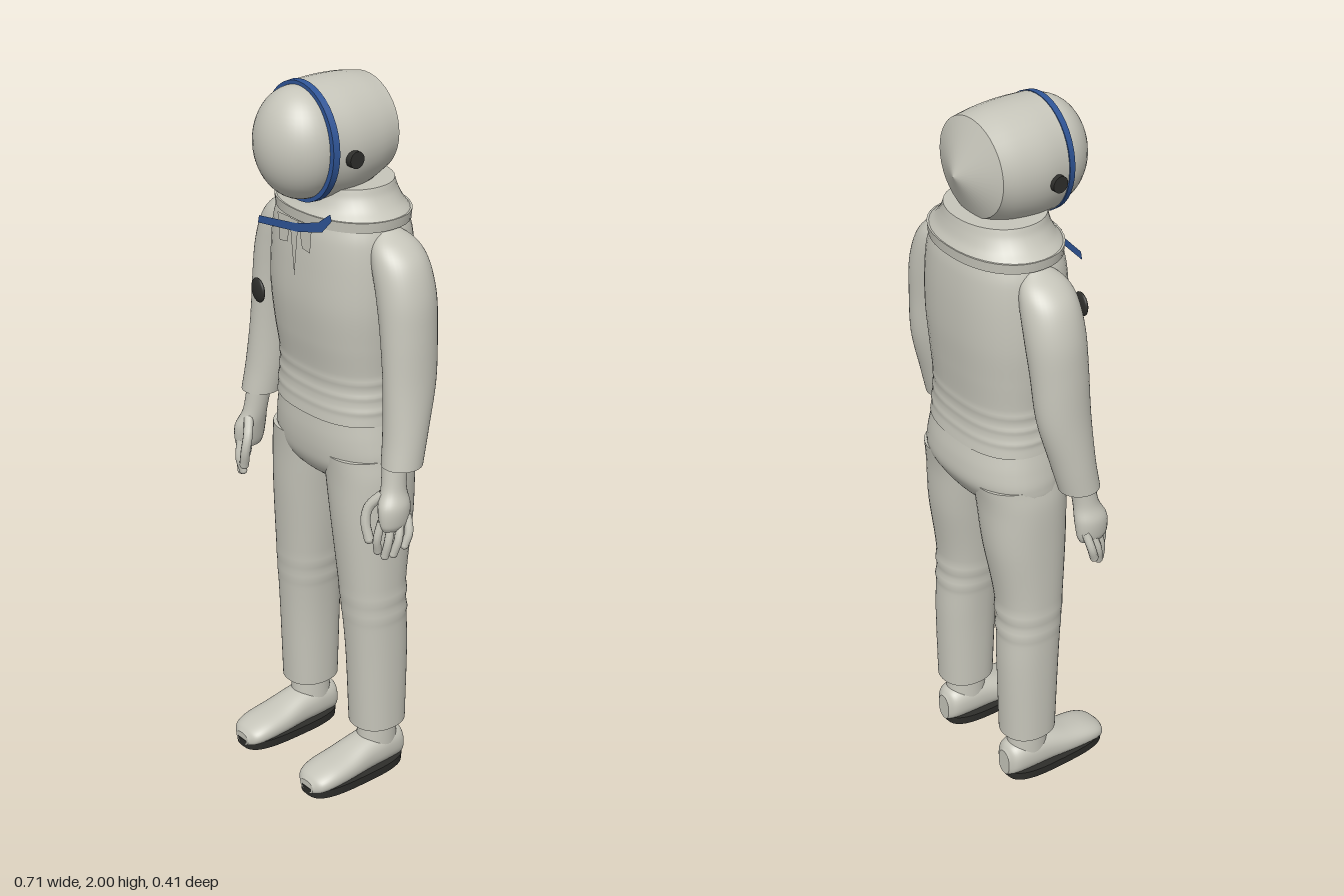
import * as THREE from 'three';

const suit = new THREE.MeshStandardMaterial({ color: 0xc6c5ba, side: THREE.DoubleSide });
suit.name = 'suitGrey';
const blue = new THREE.MeshStandardMaterial({ color: 0x2f5597, side: THREE.DoubleSide });
blue.name = 'trimBlue';
const black = new THREE.MeshStandardMaterial({ color: 0x2e2e2b });
black.name = 'rubberBlack';

// Smooth skin over superellipse sections [y, cx, cz, rx, rz], listed bottom to top, with flat caps.
function loft(rows, { power = 2, steps = 6, sides = 40, ripple = null } = {}) {
  const curve = (f) => new THREE.CatmullRomCurve3(rows.map(f), false, 'catmullrom');
  const mid = curve(([y, cx, cz]) => new THREE.Vector3(cx, y, cz));
  const rad = curve(([y, , , rx, rz]) => new THREE.Vector3(rx, y, rz));
  const pos = [], idx = [], count = (rows.length - 1) * steps;
  const round = (v) => Math.sign(v) * Math.pow(Math.abs(v), 2 / power);
  for (let i = 0; i <= count; i++) {
    const c = mid.getPoint(i / count), r = rad.getPoint(i / count);
    for (let j = 0; j < sides; j++) {
      const a = (j / sides) * Math.PI * 2;
      const k = ripple ? 1 + ripple(c.y, a) : 1;
      pos.push(c.x + r.x * k * round(Math.cos(a)), c.y, c.z + r.z * k * round(Math.sin(a)));
    }
  }
  for (let i = 0; i < count; i++) for (let j = 0; j < sides; j++) {
    const a = i * sides + j, b = i * sides + (j + 1) % sides;
    idx.push(a, a + sides, b, b, a + sides, b + sides);
  }
  // caps have their own corners, so their rims stay sharp
  for (const i of [0, count]) {
    const base = pos.length / 3;
    for (let j = 0; j < sides * 3; j++) pos.push(pos[i * sides * 3 + j]);
    const c = mid.getPoint(i / count);
    pos.push(c.x, c.y, c.z);
    for (let j = 0; j < sides; j++) {
      const a = base + j, b = base + (j + 1) % sides;
      idx.push(...(i ? [a, base + sides, b] : [a, b, base + sides]));
    }
  }
  const g = new THREE.BufferGeometry();
  g.setAttribute('position', new THREE.Float32BufferAttribute(pos, 3));
  g.setIndex(idx);
  g.computeVertexNormals();
  return g;
}

// Loft along z from sections [z, cx, cy, rx, ry].
const loftZ = (rows, opts) =>
  loft(rows.map(([z, cx, cy, rx, ry]) => [z, cx, -cy, rx, ry]), opts).rotateX(Math.PI / 2);

// Flat plate outline facing the front.
const plate = (pts, z) =>
  new THREE.ShapeGeometry(new THREE.Shape(pts.map(([x, y]) => new THREE.Vector2(x, y)))).translate(0, 0, z);

export function createModel() {
  const model = new THREE.Group();
  const add = (name, geo, mat = suit, parent = model) => {
    const m = new THREE.Mesh(geo, mat);
    m.name = name;
    parent.add(m);
    return m;
  };
  const bump = (y, at, w) => Math.exp(-(((y - at) / w) ** 2));

  // jacket with folds above the hem
  add('jacket', loft([
    [1.1, 0, -0.051, 0.204, 0.139], [1.15, 0, -0.05, 0.199, 0.133], [1.22, 0, -0.05, 0.195, 0.131],
    [1.32, 0, -0.047, 0.203, 0.143], [1.42, 0, -0.046, 0.21, 0.152], [1.52, 0, -0.047, 0.208, 0.152],
    [1.6, 0, -0.047, 0.2, 0.147], [1.65, 0, -0.047, 0.185, 0.138],
  ], { power: 2.4, steps: 12, ripple: (y) => 0.014 * (bump(y, 1.14, 0.009) + bump(y, 1.18, 0.008) + bump(y, 1.22, 0.009)) }));

  // collar
  add('collarBand', loft([[1.638, 0, -0.048, 0.2, 0.145], [1.665, 0, -0.048, 0.203, 0.147]], { power: 2.2, steps: 1 }));
  add('collarSlope', loft([
    [1.665, 0, -0.048, 0.2, 0.144], [1.685, 0, -0.049, 0.175, 0.132],
    [1.71, 0, -0.049, 0.155, 0.124], [1.735, 0, -0.048, 0.145, 0.119],
  ], { power: 2.1 }));

  // ribbon tails below the collar
  const tails = new THREE.Group();
  tails.name = 'collarTails';
  model.add(tails);
  add('middleTail', plate([[-0.018, 1.645], [0, 1.49], [0.018, 1.645]], 0.111), suit, tails);
  for (const s of [-1, 1])
    add('sideTail', plate([[s * 0.015, 1.645], [s * 0.03, 1.575], [s * 0.062, 1.57], [s * 0.07, 1.645]], 0.109), suit, tails);
  add('chestStripe', plate([
    [-0.15, 1.592], [0.02, 1.616], [0.115, 1.643], [0.153, 1.683],
    [0.147, 1.7], [0.1, 1.665], [0.01, 1.637], [-0.145, 1.613],
  ], 0.112), blue);

  // chest button
  add('chestButton', new THREE.SphereGeometry(0.033, 24, 12).scale(1, 1, 0.3).rotateY(-0.15).translate(-0.1, 1.43, 0.152), black);

  // helmet shell, pointed back, ring and visor
  add('helmetShell', loftZ([
    [-0.12, 0, 1.857, 0.134, 0.129], [-0.06, 0, 1.849, 0.144, 0.147],
    [0.01, 0, 1.845, 0.147, 0.155], [0.08, 0, 1.845, 0.138, 0.154],
  ]));
  add('helmetBack', loftZ([[-0.174, 0, 1.845, 0.001, 0.001], [-0.12, 0, 1.857, 0.134, 0.129]], { steps: 1 }));
  add('visorRing', loftZ([[0.076, 0, 1.845, 0.142, 0.156], [0.094, 0, 1.845, 0.139, 0.155]], { steps: 1 }), blue);
  add('visor', new THREE.SphereGeometry(1, 40, 28).scale(0.125, 0.145, 0.111).translate(0, 1.845, 0.094));

  // seat of the trousers
  add('hips', loft([
    [0.895, 0, -0.05, 0.05, 0.07], [0.925, 0, -0.05, 0.15, 0.105], [0.96, 0, -0.052, 0.211, 0.128],
    [1.0, 0, -0.057, 0.219, 0.142], [1.05, 0, -0.055, 0.212, 0.143], [1.105, 0, -0.051, 0.201, 0.136],
  ], { power: 2.3 }));

  for (const s of [-1, 1]) {
    const side = s > 0 ? 'left' : 'right';
    const leg = new THREE.Group(), arm = new THREE.Group(), hand = new THREE.Group();
    leg.name = side + 'Leg';
    arm.name = side + 'Arm';
    hand.name = side + 'Hand';
    model.add(leg, arm);
    arm.add(hand);

    // trouser leg with creases at the knee
    add('trouserLeg', loft([
      [0.155, s * 0.151, -0.055, 0.073, 0.08], [0.4, s * 0.148, -0.052, 0.077, 0.088],
      [0.6, s * 0.139, -0.043, 0.086, 0.093], [0.8, s * 0.126, -0.05, 0.1, 0.115],
      [0.93, s * 0.115, -0.052, 0.11, 0.122], [1.0, s * 0.108, -0.055, 0.108, 0.13],
    ], { power: 2.2, steps: 14, ripple: (y, a) => 0.03 * (1 - 0.6 * Math.sin(a)) * (bump(y, 0.52, 0.012) + bump(y, 0.575, 0.012)) }), suit, leg);

    // ankle, shoe and sole
    add('ankle', loft([[0.07, s * 0.15, -0.055, 0.052, 0.062], [0.17, s * 0.152, -0.055, 0.05, 0.056]], { steps: 2 }), suit, leg);
    const shoe = [[-0.135, 0.09, 0.025], [-0.115, 0.112, 0.046], [-0.06, 0.122, 0.054], [0, 0.113, 0.056],
      [0.07, 0.093, 0.061], [0.14, 0.078, 0.062], [0.18, 0.062, 0.052], [0.198, 0.045, 0.028]];
    add('shoe', loftZ(shoe.map(([z, top, rx]) => [z, s * 0.15, top / 2 + 0.005, rx, top / 2 - 0.005]), { power: 2.3 }), suit, leg);
    add('sole', loft([[0, s * 0.15, 0.035, 0.064, 0.163], [0.026, s * 0.15, 0.035, 0.066, 0.165]], { power: 3, steps: 1 }), black, leg);

    // sleeve, from cuff to shoulder
    add('sleeve', loft([
      [1.035, s * 0.3, -0.003, 0.053, 0.056], [1.12, s * 0.292, -0.02, 0.056, 0.062],
      [1.25, s * 0.28, -0.041, 0.058, 0.076], [1.38, s * 0.267, -0.047, 0.064, 0.08],
      [1.48, s * 0.251, -0.05, 0.07, 0.082], [1.56, s * 0.226, -0.05, 0.069, 0.077],
      [1.605, s * 0.203, -0.05, 0.052, 0.062], [1.635, s * 0.178, -0.05, 0.022, 0.03],
    ]), suit, arm);

    // wrist and palm
    add('palm', loft([
      [0.865, s * 0.314, 0.032, 0.02, 0.038], [0.885, s * 0.314, 0.032, 0.028, 0.046],
      [0.93, s * 0.31, 0.03, 0.034, 0.048], [0.975, s * 0.298, 0.022, 0.031, 0.036],
      [1.045, s * 0.29, 0.012, 0.033, 0.035],
    ], { sides: 24 }), suit, hand);

    // thumb and four fingers, each a tube with a rounded tip
    const fingers = [
      [[0.29, 0.96, 0.05], [0.262, 0.92, 0.075], [0.26, 0.88, 0.085], [0.272, 0.83, 0.082]],
      [[0.305, 0.89, 0.068], [0.3, 0.84, 0.078], [0.293, 0.8, 0.07]],
      [[0.318, 0.89, 0.045], [0.322, 0.835, 0.058], [0.313, 0.79, 0.062]],
      [[0.325, 0.89, 0.022], [0.336, 0.84, 0.036], [0.328, 0.797, 0.046]],
      [[0.328, 0.9, 0.0], [0.345, 0.855, 0.008], [0.342, 0.82, 0.02]],
    ];
    fingers.forEach((pts, i) => {
      const path = new THREE.CatmullRomCurve3(pts.map(([x, y, z]) => new THREE.Vector3(s * x, y, z)));
      const r = i ? 0.0115 : 0.0135, tip = path.getPoint(1);
      add(i ? 'finger' : 'thumb', new THREE.TubeGeometry(path, 10, r, 10), suit, hand);
      add('fingertip', new THREE.SphereGeometry(r, 10, 8).translate(tip.x, tip.y, tip.z), suit, hand);
    });

    // helmet knob
    add(side + 'HelmetKnob', new THREE.CylinderGeometry(0.022, 0.022, 0.025, 24).rotateZ(Math.PI / 2).translate(s * 0.146, 1.826, 0.035), black);
  }
  return model;
}
